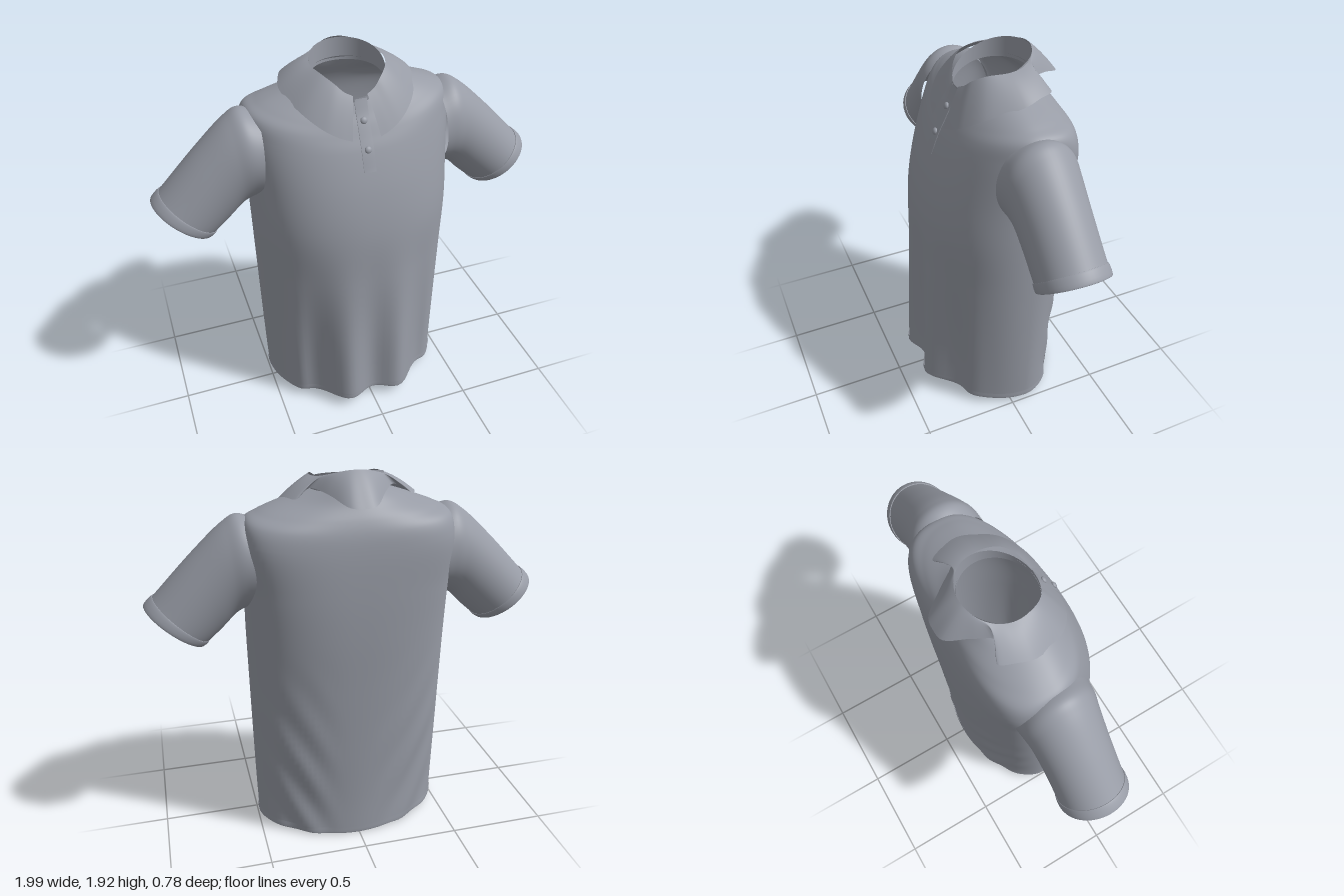
import * as THREE from 'three';

const V = (x, y, z) => new THREE.Vector3(x, y, z);
const smooth = THREE.MathUtils.smoothstep;

// Smooth skin through a list of key rings; closed joins the last column to the first
function loft(rings, rows, closed, deform) {
  const cols = rings[0].length;
  const pos = [], index = [];
  const curves = rings[0].map((_, i) => new THREE.CatmullRomCurve3(rings.map(r => r[i])).getPoints(rows));
  for (let j = 0; j <= rows; j++) {
    for (let i = 0; i < cols; i++) {
      const p = curves[i][j];
      if (deform) deform(p);
      pos.push(p.x, p.y, p.z);
    }
  }
  for (let j = 0; j < rows; j++) {
    for (let i = 0; i < (closed ? cols : cols - 1); i++) {
      const k = (i + 1) % cols;
      const a = j * cols + i, b = j * cols + k, c = a + cols, d = b + cols;
      index.push(a, b, d, a, d, c);
    }
  }
  const g = new THREE.BufferGeometry();
  g.setAttribute('position', new THREE.Float32BufferAttribute(pos, 3));
  g.setIndex(index);
  g.computeVertexNormals();
  return g;
}

// Body keys: half width, front z, back z, side y, front y, back y, middle z, front and back squareness
const BODY = [
  [0.494, 0.372, -0.372, 0.035, 0.070, 0.004, -0.08, 1.95, 1.88],
  [0.500, 0.364, -0.367, 0.22, 0.24, 0.20, -0.08, 1.95, 1.9],
  [0.505, 0.355, -0.369, 0.50, 0.50, 0.50, -0.08, 2.0, 2.05],
  [0.510, 0.345, -0.375, 0.85, 0.85, 0.85, -0.08, 2.1, 2.25],
  [0.513, 0.328, -0.380, 1.13, 1.13, 1.13, -0.08, 2.25, 2.5],
  [0.513, 0.285, -0.376, 1.34, 1.34, 1.35, -0.09, 2.3, 2.9],
  [0.520, 0.215, -0.362, 1.60, 1.54, 1.55, -0.11, 2.2, 3.5],
  [0.502, 0.183, -0.346, 1.692, 1.605, 1.64, -0.10, 2.1, 3.2],
  [0.440, 0.158, -0.323, 1.727, 1.655, 1.70, -0.09, 2, 2.5],
  [0.300, 0.133, -0.287, 1.778, 1.70, 1.76, -0.08, 2, 2],
  [0.182, 0.108, -0.256, 1.815, 1.75, 1.82, -0.075, 2, 2],
];

function bodyRing([w, zf, zb, ys, yf, yb, zc, nf, nb], grow = 0) {
  return Array.from({ length: 112 }, (_, i) => {
    const a = i / 112 * Math.PI * 2, s = Math.sin(a), c = Math.cos(a);
    const n = c > 0 ? nf : nb;
    const r = Math.pow(Math.abs(s) ** n + Math.abs(c) ** n, -1 / n);
    const depth = c > 0 ? zf - zc : zc - zb;
    const y = ys * s * s + (c > 0 ? yf : yb) * c * c;
    return V((w + grow) * s * r, y, zc + (depth + grow) * c * r);
  });
}

// Hanging folds on the front, slanted creases low on the back
function drape(p) {
  const ax = Math.abs(p.x);
  if (p.z > 0) {
    const fade = (1 - smooth(p.y, 0.1, 1.15)) * (1 - smooth(ax, 0.32, 0.46)) * smooth(p.z, 0, 0.15);
    p.z += 0.033 * fade * Math.cos((ax - 0.15) / 0.3 * Math.PI * 2);
  } else {
    const fade = (1 - smooth(p.y, 0.4, 1.1)) * smooth(ax, 0.08, 0.28) * smooth(-p.z, 0.15, 0.3);
    p.z += 0.007 * fade * Math.sin((0.5 * p.y - 0.86 * ax) / 0.16 * Math.PI * 2);
  }
}

// Sleeve ring spanned by its top and bottom points
function sleeveRing(side, [tx, ty, bx, by, hz], grow = 1) {
  return Array.from({ length: 56 }, (_, i) => {
    const a = i / 56 * Math.PI * 2 * side;
    const c = Math.cos(a) * grow;
    return V(side * ((tx + bx) / 2 + (tx - bx) / 2 * c),
      (ty + by) / 2 + (ty - by) / 2 * c, -0.08 + hz * grow * Math.sin(a));
  });
}

const SLEEVE = [
  [0.455, 1.690, 0.480, 1.27, 0.195],
  [0.535, 1.710, 0.515, 1.255, 0.188],
  [0.60, 1.675, 0.56, 1.230, 0.178],
  [0.75, 1.540, 0.62, 1.17, 0.169],
  [0.95, 1.335, 0.70, 1.10, 0.166],
  [0.985, 1.300, 0.725, 1.085, 0.166],
];

// Collar keys: angle from the front, fold height, then outer edge x, y, z
const COLLAR = [
  [11, 1.780, 0.070, 1.600, 0.200],
  [24, 1.800, 0.130, 1.622, 0.186],
  [38, 1.835, 0.198, 1.660, 0.155],
  [60, 1.868, 0.278, 1.722, 0.075],
  [90, 1.876, 0.332, 1.776, -0.085],
  [110, 1.880, 0.315, 1.795, -0.165],
  [124, 1.887, 0.275, 1.800, -0.245],
  [138, 1.898, 0.205, 1.835, -0.190],
  [152, 1.910, 0.135, 1.820, -0.280],
  [168, 1.920, 0.060, 1.778, -0.385],
  [180, 1.922, 0.000, 1.773, -0.395],
];

function collarProfile([deg, y, ox, oy, oz], side) {
  const a = deg * Math.PI / 180;
  const inner = V(side * 0.18 * Math.sin(a), y, -0.075 + 0.185 * Math.cos(a));
  const outer = V(side * ox, oy, oz);
  const mid = inner.clone().lerp(outer, 0.45);
  mid.y += 0.02;
  return new THREE.QuadraticBezierCurve3(inner, mid, outer).getPoints(10);
}

export function createModel() {
  const shirt = new THREE.Group();
  shirt.name = 'poloShirt';
  const cloth = new THREE.MeshStandardMaterial({ color: 0x989ca6, side: THREE.DoubleSide });
  cloth.name = 'greyCloth';
  const add = (name, geometry) => {
    const m = new THREE.Mesh(geometry, cloth);
    m.name = name;
    shirt.add(m);
    return m;
  };

  // Body and its stitched hem
  add('body', loft(BODY.map(k => bodyRing(k)), 90, true, drape));
  const hemTop = BODY[0].map((v, i) => (i > 2 && i < 6 ? v + 0.035 : v));
  add('hem', loft([bodyRing(BODY[0]), bodyRing(BODY[0], 0.003), bodyRing(hemTop, 0.003)], 6, true, drape));

  // Sleeves with turned cuffs
  for (const side of [1, -1]) {
    const label = side > 0 ? 'left' : 'right';
    add(label + 'Sleeve', loft(SLEEVE.map(k => sleeveRing(side, k)), 36, true));
    const start = [0.95, 1.335, 0.70, 1.10, 0.166];
    const end = [0.993, 1.292, 0.728, 1.080, 0.166];
    add(label + 'Cuff', loft([sleeveRing(side, start), sleeveRing(side, start, 1.02),
      sleeveRing(side, end, 1.025), sleeveRing(side, end, 0.97), sleeveRing(side, start, 0.96)], 20, true));
  }

  // Collar stand around the neck, rising to the back
  const stand = [0, 0.5, 1].map(t => Array.from({ length: 64 }, (_, i) => {
    const a = i / 64 * Math.PI * 2, c = Math.cos(a), s = Math.sin(a);
    const top = 1.843 - 0.073 * c + 0.02 * s * s;
    const base = 1.765 - 0.035 * c + 0.02 * s * s;
    return V(0.18 * s, base + (top - base) * t, -0.075 + 0.185 * c);
  }));
  add('collarStand', loft(stand, 6, true));

  // Folded collar leaf, mirrored about the back
  const leaf = COLLAR.map(k => collarProfile(k, 1))
    .concat(COLLAR.slice(0, -1).reverse().map(k => collarProfile(k, -1)));
  add('collar', loft(leaf, 100, false));

  // Button placket
  const strip = [[1.45, 0.253], [1.54, 0.220], [1.605, 0.188], [1.655, 0.163], [1.70, 0.139], [1.765, 0.112]];
  add('placket', loft(strip.map(([y, z]) =>
    [V(-0.031, y, z - 0.006), V(-0.03, y, z), V(0.03, y, z), V(0.031, y, z - 0.006)]), 20, false));

  // Buttons
  for (const [y, z] of [[1.675, 0.156], [1.553, 0.218]]) {
    const b = add('button', new THREE.SphereGeometry(0.017, 20, 12));
    b.position.set(0, y, z);
    b.scale.z = 0.6;
    b.rotation.x = -0.45;
  }
  return shirt;
}
